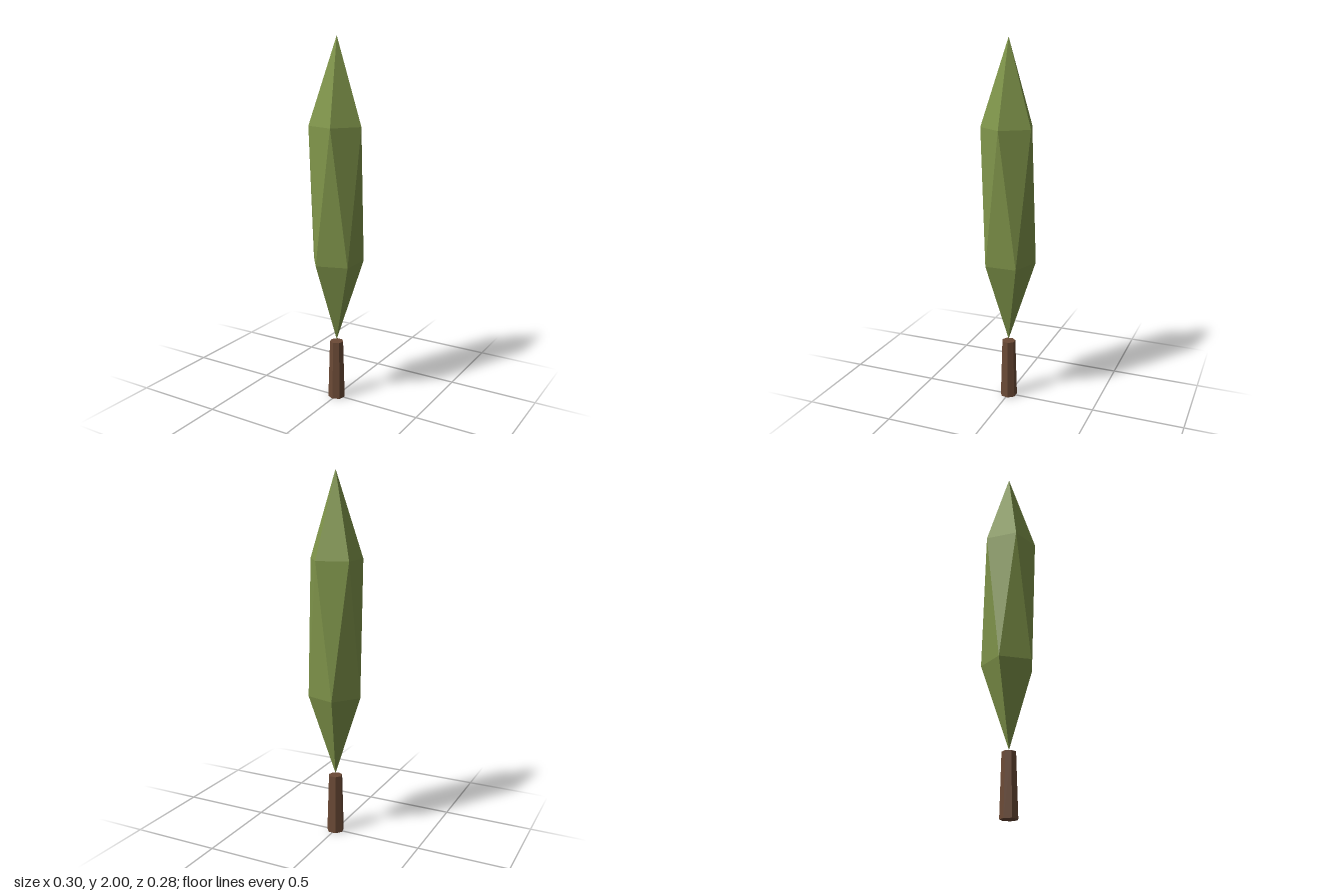
import * as THREE from 'three';

export function createModel() {
  const tree = new THREE.Group();
  tree.name = 'cypressTree';

  const addPart = (name, geometry, color, y) => {
    const mesh = new THREE.Mesh(geometry, new THREE.MeshStandardMaterial({ color, flatShading: true }));
    mesh.name = name;
    mesh.position.y = y;
    tree.add(mesh);
  };

  // Trunk: tapered seven-sided post
  const trunkHeight = 0.335;
  addPart('trunk', new THREE.CylinderGeometry(0.038, 0.048, trunkHeight, 7), 0x6b4a36, trunkHeight / 2);

  // Foliage: icosahedron stood on a vertex and stretched upward
  const bottom = 0.345, top = 2, radius = 0.166;
  const golden = (1 + Math.sqrt(5)) / 2;
  const crown = new THREE.IcosahedronGeometry(radius, 0);
  crown.rotateZ(-Math.atan(1 / golden));
  crown.scale(1, (top - bottom) / (2 * radius), 1);
  addPart('foliage', crown, 0x7f944a, (top + bottom) / 2);

  return tree;
}
